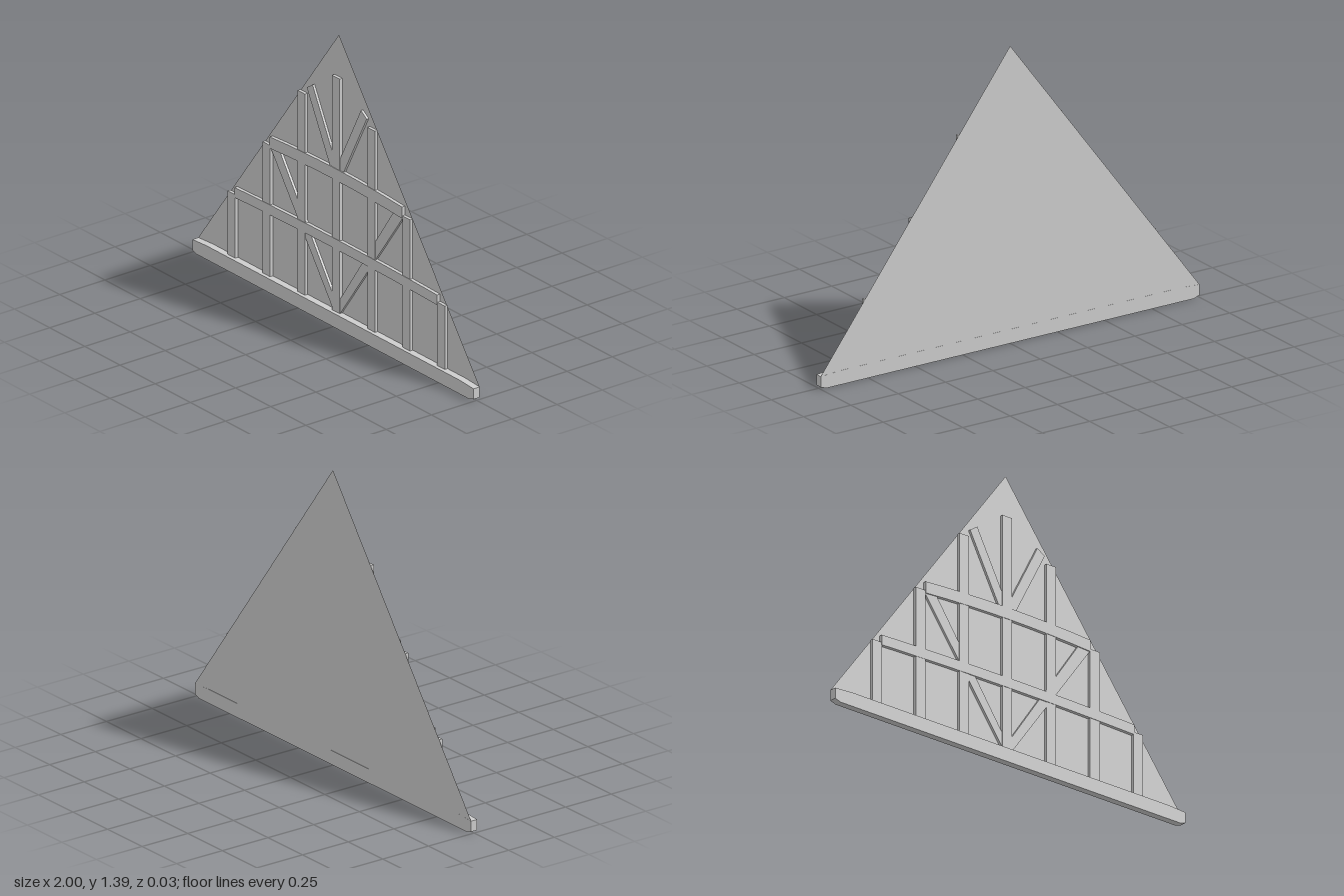
import * as THREE from 'three';

const BACK = -0.0165;

export function createModel() {
  const group = new THREE.Group();
  group.name = 'timberGable';
  const grey = new THREE.MeshStandardMaterial({ color: 0xcccccc, side: THREE.DoubleSide });
  grey.name = 'plain grey';

  // Flat outline pushed forward from z0 to z1
  const slab = (name, points, z0, z1) => {
    const shape = new THREE.Shape(points.map(([x, y]) => new THREE.Vector2(x, y)));
    const geo = new THREE.ExtrudeGeometry(shape, { depth: z1 - z0, bevelEnabled: false });
    geo.translate(0, 0, z0);
    const mesh = new THREE.Mesh(geo, grey);
    mesh.name = name;
    group.add(mesh);
  };

  // Horizontal beam, slightly bowed upward in the middle
  const rail = (name, half, y0, y1, bow, z0, z1) => {
    const lower = [], upper = [];
    for (let i = 0; i <= 8; i++) {
      const t = i / 4 - 1;
      const lift = bow * (1 - t * t);
      lower.push([t * half, y0 + lift]);
      upper.unshift([t * half, y1 + lift]);
    }
    slab(name, [...lower, ...upper], z0, z1);
  };

  // Thin triangular wall panel
  const wall = new THREE.Mesh(
    new THREE.ShapeGeometry(new THREE.Shape([
      new THREE.Vector2(-1, 0.06), new THREE.Vector2(1, 0.06), new THREE.Vector2(0, 1.39),
    ])), grey);
  wall.position.z = BACK;
  wall.name = 'wallPanel';
  group.add(wall);

  // Sill and cross rails
  slab('sill', [[-1, 0.01], [-0.97, 0], [0.97, 0], [1, 0.01], [1, 0.06], [0.9, 0.066], [-0.9, 0.066], [-1, 0.06]],
    -0.017, 0.017);
  rail('lowerRail', 0.72, 0.357, 0.405, 0.01, BACK + 0.001, 0.001);
  rail('upperRail', 0.47, 0.682, 0.737, 0.015, BACK + 0.001, 0.001);

  // Upright posts
  const post = (name, x0, x1, top) =>
    slab(name, [[x0, 0.05], [x1, 0.05], [x1, top], [x0, top]], BACK + 0.0005, -0.001);
  post('kingPost', -0.03, 0.025, 1.19);

  for (const s of [-1, 1]) {
    const side = s > 0 ? 'left' : 'right';
    post(side + 'InnerPost', s * 0.222, s * 0.275, 1.03);
    post(side + 'MiddlePost', s * 0.47, s * 0.525, 0.695);
    post(side + 'OuterPost', s * 0.718, s * 0.772, 0.37);

    // Diagonal braces
    const mirror = (pts) => pts.map(([x, y]) => [x * s, y]);
    slab(side + 'UpperBrace',
      mirror([[0.213, 1.065], [0.172, 1.092], [0.01, 0.78], [0.01, 0.72], [0.033, 0.72]]),
      BACK + 0.001, -0.004);
    slab(side + 'LowerBrace',
      mirror([[0.475, 0.69], [0.405, 0.69], [0, 0.1], [0, 0.06], [0.02, 0.06]]),
      BACK + 0.001, -0.004);
  }
  return group;
}
